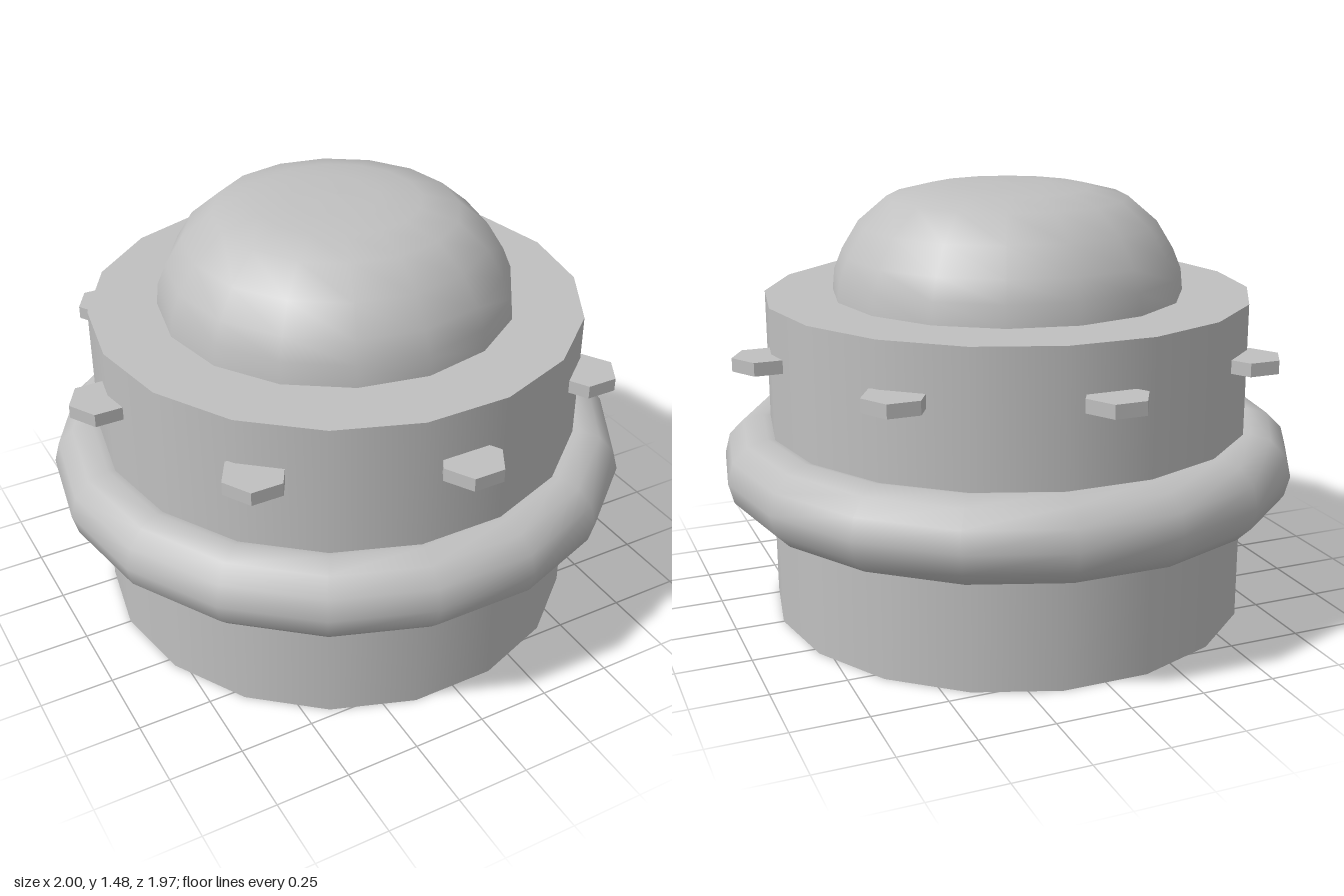
import * as THREE from 'three';

const grey = new THREE.MeshStandardMaterial({ color: 0xc0c0c0 });
grey.name = 'plain grey';

function add(parent, name, geometry, x = 0, y = 0, z = 0) {
  const mesh = new THREE.Mesh(geometry, grey);
  mesh.name = name;
  mesh.position.set(x, y, z);
  parent.add(mesh);
  return mesh;
}

export function createModel() {
  const model = new THREE.Group();
  model.name = 'domedDrum';

  // Drum body, 18 sides with a corner on the x axis
  const height = 1.107;
  add(model, 'drumBody',
    new THREE.CylinderGeometry(0.835, 0.835, height, 18, 1, false, Math.PI / 2), 0, height / 2, 0);

  // Rounded bumper ring around the middle
  const ring = new THREE.TorusGeometry(0.86, 0.14, 12, 18);
  ring.rotateX(Math.PI / 2);
  add(model, 'bumperRing', ring, 0, 0.525, 0);

  // Dome with a soft shoulder and an almost flat crown
  const profile = [
    [0.605, 1.1], [0.597, 1.18], [0.568, 1.25], [0.51, 1.345],
    [0.41, 1.43], [0.283, 1.462], [0.15, 1.473], [0, 1.476],
  ].map(([r, y]) => new THREE.Vector2(r, y));
  add(model, 'dome', new THREE.LatheGeometry(profile, 16));

  // Eight hexagonal studs half sunk into the drum wall, all turned the same way
  const studs = new THREE.Group();
  studs.name = 'studs';
  model.add(studs);
  const hexagon = new THREE.CylinderGeometry(0.105, 0.105, 0.045, 6, 1, false, Math.PI / 2).toNonIndexed();
  hexagon.computeVertexNormals();
  for (let i = 0; i < 8; i++) {
    const a = (i * Math.PI) / 4;
    add(studs, 'stud', hexagon, 0.86 * Math.cos(a), 0.931, 0.86 * Math.sin(a));
  }

  return model;
}
